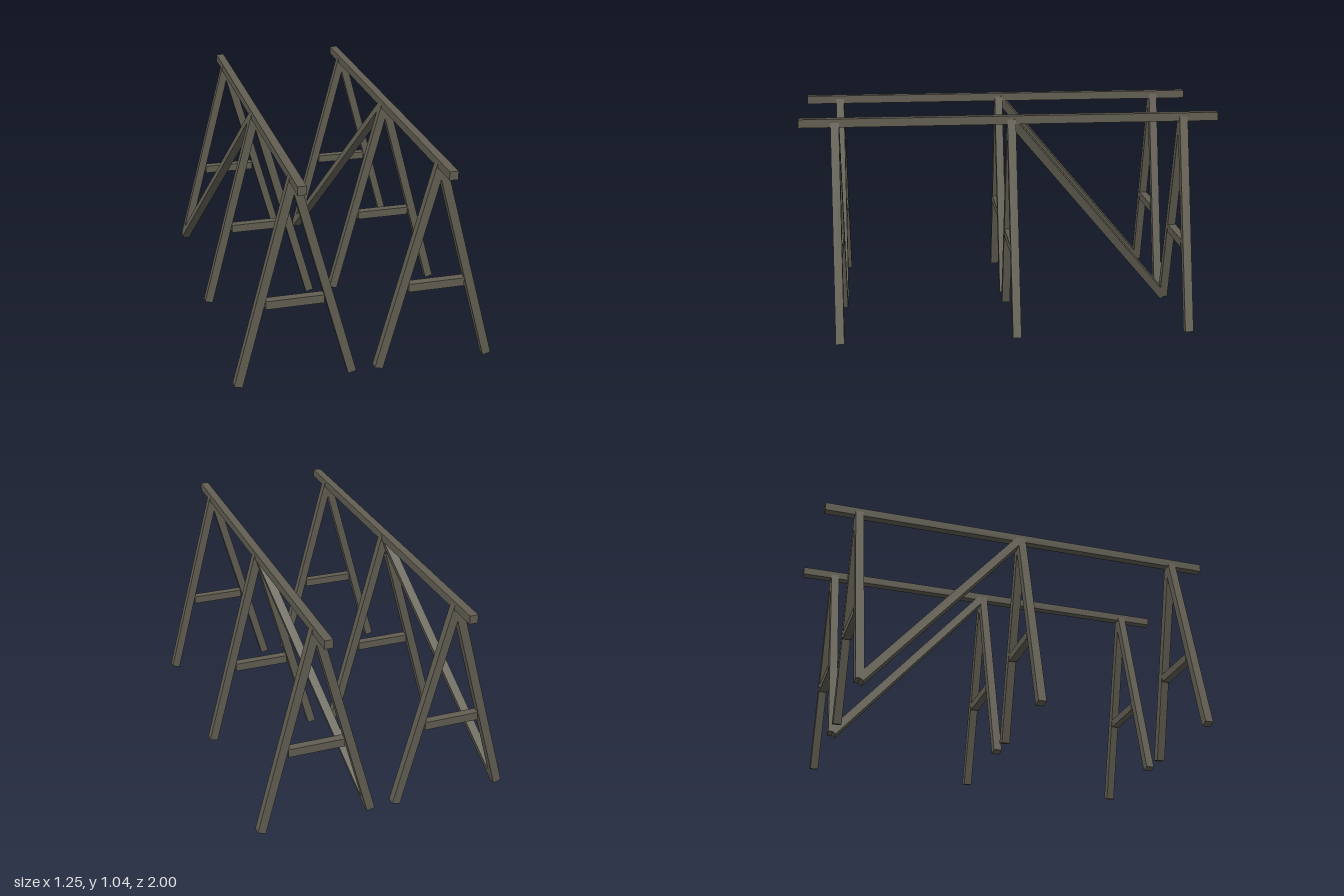
import * as THREE from 'three';

const T = 0.04;            // timber thickness
const APEX = 1.02;         // height where the legs meet
const LEAN = Math.PI / 12; // leg angle from vertical
const LEG = 1.038;         // leg length
const BAY = 0.832;         // spacing between the A-frames

const wood = new THREE.MeshStandardMaterial({ color: 0x625e52 });

function beam(name, sx, sy, sz, x, y, z) {
  const mesh = new THREE.Mesh(new THREE.BoxGeometry(sx, sy, sz), wood);
  mesh.name = name;
  mesh.position.set(x, y, z);
  return mesh;
}

// Timber hanging from the apex, tilted sideways (lean) and then backwards (sweep)
function strut(name, length, lean, sweep, z) {
  const mesh = beam(name, T, length, T, 0, 0, 0);
  mesh.geometry.translate(0, -length / 2, 0);
  mesh.rotation.set(sweep, 0, lean, 'ZYX');
  mesh.position.set(0, APEX, z);
  return mesh;
}

// One A-shaped support: two legs and a crossbar
function aFrame(z) {
  const frame = new THREE.Group();
  frame.name = 'aFrame';
  frame.add(
    strut('rightLeg', LEG, -LEAN, 0, z),
    strut('leftLeg', LEG, LEAN, 0, z),
    beam('crossbar', 0.268, T, T, 0, 0.42, z)
  );
  return frame;
}

function trestle(x) {
  const group = new THREE.Group();
  group.name = 'trestle';
  group.position.x = x;
  group.add(beam('ridgeBeam', T, T, 2, 0, APEX, 0));
  for (const z of [-BAY, 0, BAY]) group.add(aFrame(z));
  // Brace from the middle apex to the foot of the rear right leg
  group.add(strut('diagonalBrace', Math.hypot(LEG, BAY), -LEAN, Math.atan2(BAY, LEG), 0));
  return group;
}

export function createModel() {
  const model = new THREE.Group();
  model.name = 'trestlePair';
  for (const side of [-1, 1]) model.add(trestle(side * 0.333));
  return model;
}
